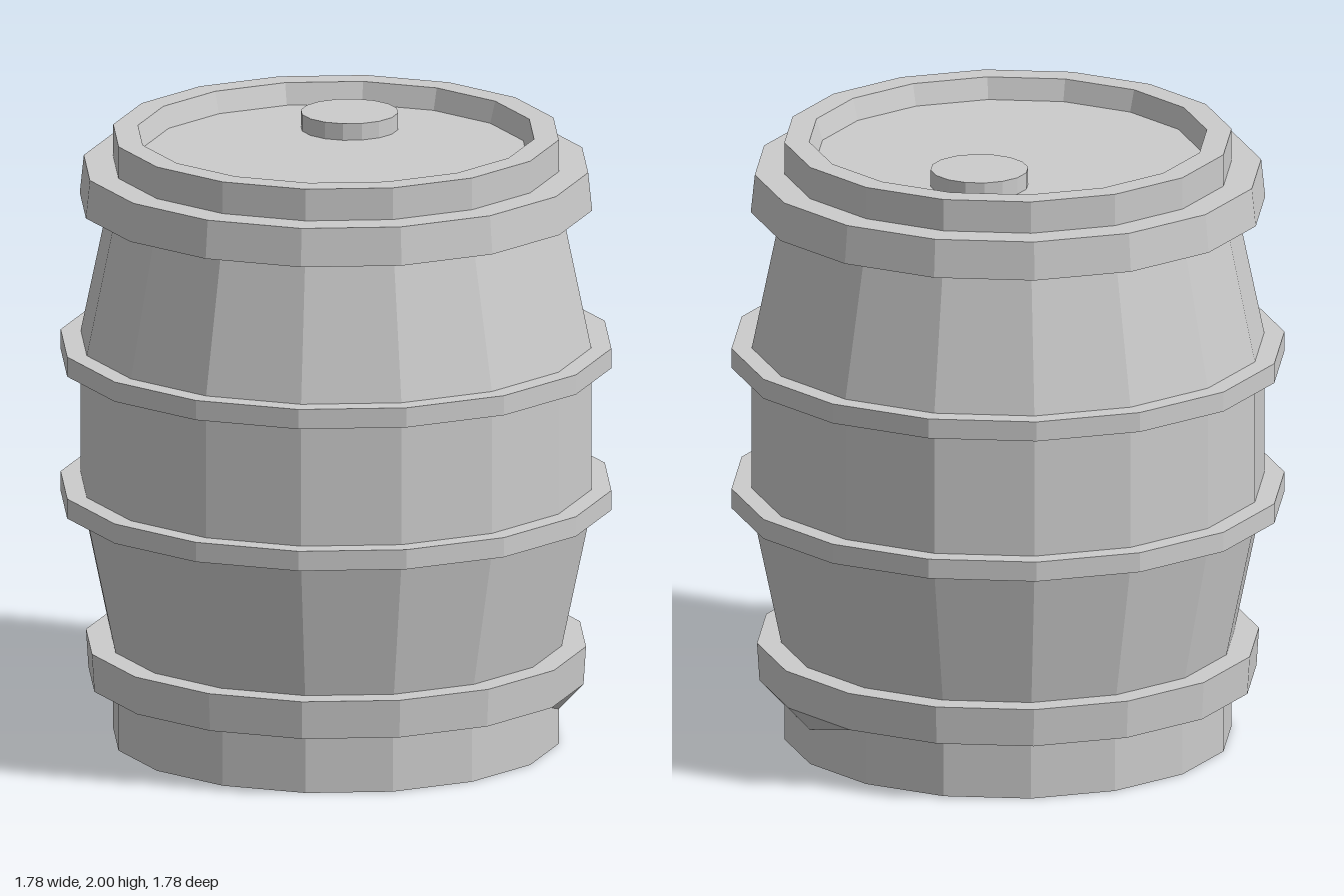
import * as THREE from 'three';

const SIDES = 16;
const material = new THREE.MeshStandardMaterial({ color: 0xcccccc, flatShading: true });

// Faceted revolve of a [radius, y] profile running from bottom to top along the outside.
// bend(point, side, row) may shift single corners.
function revolve(profile, bend = (p) => p) {
  const corner = (side, row) => {
    const a = (side / SIDES) * Math.PI * 2;
    const [r, y] = profile[row];
    return bend(new THREE.Vector3(r * Math.sin(a), y, r * Math.cos(a)), side % SIDES, row);
  };
  const points = [];
  for (let s = 0; s < SIDES; s++) {
    for (let j = 0; j < profile.length - 1; j++) {
      const a = corner(s, j), b = corner(s + 1, j);
      const c = corner(s + 1, j + 1), d = corner(s, j + 1);
      if (profile[j][0] > 0) points.push(a, b, c);
      if (profile[j + 1][0] > 0) points.push(a, c, d);
    }
  }
  const geometry = new THREE.BufferGeometry().setFromPoints(points);
  geometry.computeVertexNormals();
  return geometry;
}

export function createModel() {
  const group = new THREE.Group();
  const add = (name, geometry) => {
    const mesh = new THREE.Mesh(geometry, material);
    mesh.name = name;
    group.add(mesh);
    return mesh;
  };

  // Barrel shell: recessed floor, foot, staves with hoops, rim and recessed lid
  const profile = [
    [0, 0.05], [0.56, 0.05], [0.64, 0], [0.72, 0], // floor and foot
    [0.72, 0.2], [0.8, 0.2], [0.808, 0.325], [0.73, 0.325], // lower band
    [0.825, 0.78], [0.89, 0.78], [0.89, 0.845], [0.825, 0.845], // lower hoop
    [0.825, 1.25], [0.89, 1.25], [0.89, 1.315], [0.825, 1.315], // upper hoop
    [0.73, 1.77], [0.828, 1.77], [0.815, 1.895], [0.72, 1.895], // upper band
    [0.72, 2], [0.64, 2], [0.62, 1.93], [0, 1.93], // rim and lid
  ];
  // Dent: three corners under the lower band sag on the left rear side
  const dent = (p, side, row) => {
    if (row === 4 && side >= 4 && side <= 6) p.y = 0.115;
    return p;
  };
  add('barrelShell', revolve(profile, dent));

  // Bung cap on the lid, towards the back
  const cap = add('bungCap', new THREE.CylinderGeometry(0.157, 0.157, 0.06, SIDES));
  cap.position.set(0, 1.955, -0.32);

  return group;
}
